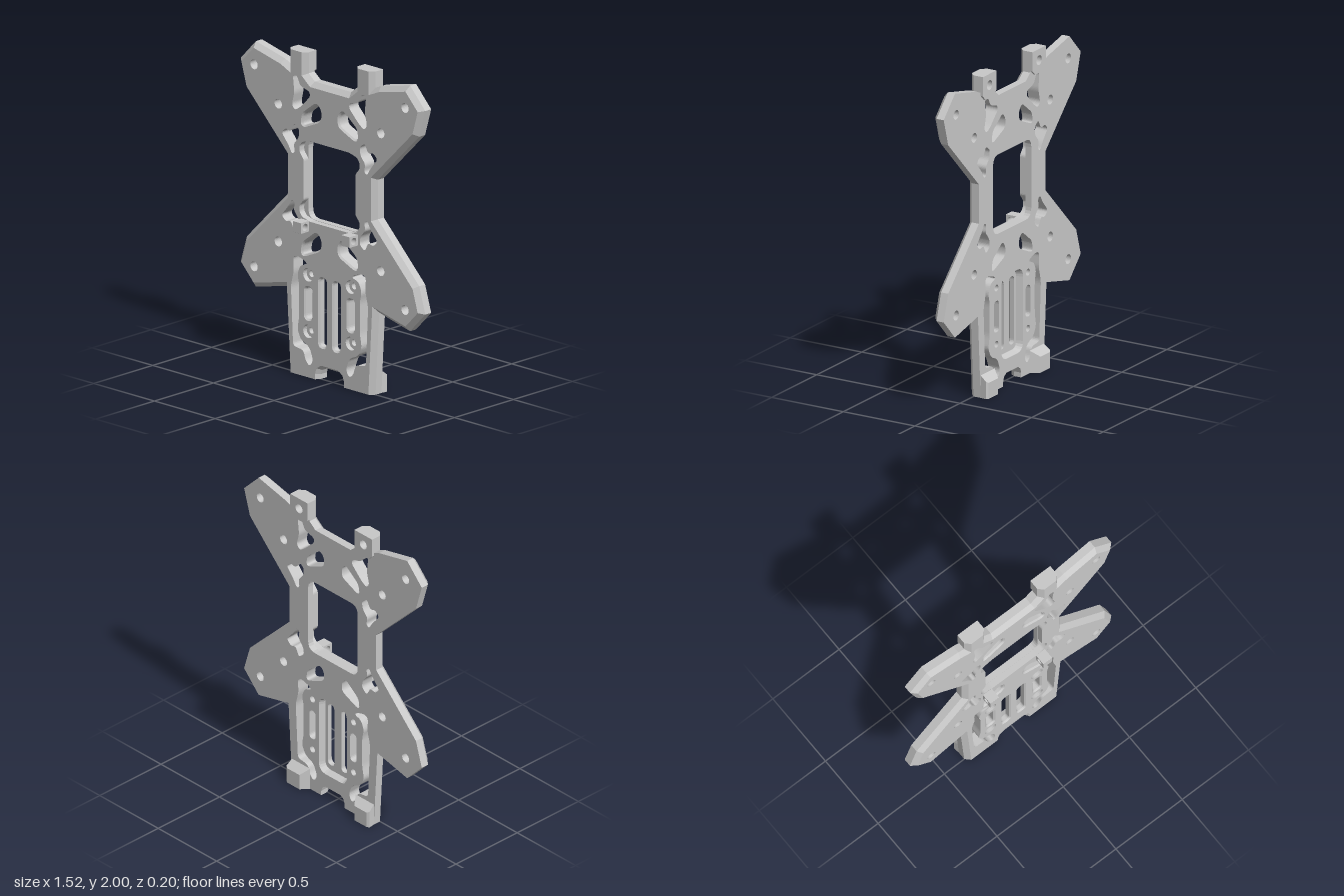
import * as THREE from 'three';
import { mergeGeometries } from 'three/addons/utils/BufferGeometryUtils.js';

const V = (x, y) => new THREE.Vector2(x, y);
const FRONT = 0.03, BACK = -0.05;

// All loops are kept counter-clockwise
const ccw = (l) => (THREE.ShapeUtils.area(l) < 0 ? l.slice().reverse() : l);
const poly = (pts) => ccw(pts.map(([x, y]) => V(x, y)));
const mirror = (l) => ccw(l.map((p) => V(-p.x, p.y)));
const bothSides = (pts) => [...pts, ...pts.slice().reverse().map(([x, y]) => [-x, y])];

// Polygon with rounded corners
function rounded(pts, r, seg = 5) {
  const l = poly(pts), out = [];
  l.forEach((p, i) => {
    const a = l[(i + l.length - 1) % l.length], b = l[(i + 1) % l.length];
    const s = p.clone().lerp(a, Math.min(0.48, r / p.distanceTo(a)));
    const e = p.clone().lerp(b, Math.min(0.48, r / p.distanceTo(b)));
    out.push(...new THREE.QuadraticBezierCurve(s, p, e).getPoints(seg));
  });
  return out;
}
const rect = (x, y, w, h, r) => rounded([[x - w, y - h], [x + w, y - h], [x + w, y + h], [x - w, y + h]], r);
function circle(x, y, r, n = 24) {
  return Array.from({ length: n }, (_, i) => V(x + r * Math.cos(i / n * Math.PI * 2), y + r * Math.sin(i / n * Math.PI * 2)));
}

// Move every edge outwards by a distance, joining at mitres
function offset(l, dist) {
  const n = l.length;
  const edge = (i) => {
    const a = l[i], b = l[(i + 1) % n], d = b.clone().sub(a).normalize();
    return { x: d.y, y: -d.x, d: typeof dist === 'function' ? dist(a, b) : dist };
  };
  return l.map((p, i) => {
    const e = edge((i + n - 1) % n), f = edge(i), det = e.x * f.y - e.y * f.x;
    if (Math.abs(det) < 0.02) return V(p.x + f.x * f.d, p.y + f.y * f.d);
    return V(p.x + (e.d * f.y - f.d * e.y) / det, p.y + (e.x * f.d - f.x * e.d) / det);
  });
}

function triangles(pos) {
  const g = new THREE.BufferGeometry();
  g.setAttribute('position', new THREE.Float32BufferAttribute(pos, 3));
  g.computeVertexNormals();
  return g;
}
// Side wall between two loops of equal length
function wall(a, za, b, zb, inward) {
  const pos = [];
  a.forEach((p, i) => {
    const j = (i + 1) % a.length;
    const A = [p.x, p.y, za], B = [a[j].x, a[j].y, za], C = [b[j].x, b[j].y, zb], D = [b[i].x, b[i].y, zb];
    pos.push(...(inward ? [D, B, C, D, A, B] : [D, C, B, D, B, A]).flat());
  });
  return triangles(pos);
}
function makeShape(outer, holes) {
  const s = new THREE.Shape(outer);
  s.holes = holes.map((h) => new THREE.Path(h));
  return s;
}
// Flat face with holes
function face(outer, holes, z, backward) {
  const g = new THREE.ShapeGeometry(makeShape(outer, holes));
  const p = g.attributes.position, pos = [];
  for (let i = 0; i < g.index.count; i += 3) {
    for (const k of backward ? [0, 2, 1] : [0, 1, 2]) {
      const v = g.index.getX(i + k);
      pos.push(p.getX(v), p.getY(v), z);
    }
  }
  return triangles(pos);
}
const extrude = (outer, holes, depth) =>
  new THREE.ExtrudeGeometry(makeShape(outer, holes), { depth, bevelEnabled: false });

function buildPlate() {
  const parts = [], frontHoles = [], backHoles = [];
  // Walls and ledges through a list of [loop, z], front to back
  const sides = (levels) => {
    for (let i = 1; i < levels.length; i++) {
      const [a, za] = levels[i - 1], [b, zb] = levels[i];
      parts.push(za === zb ? face(a, [b], za) : wall(a, za, b, zb, true));
    }
  };
  const hole = (levels) => {
    sides(levels);
    frontHoles.push(levels[0][0]);
    backHoles.push(levels[levels.length - 1][0]);
  };
  const pair = (levels) => {
    hole(levels);
    hole(levels.map(([l, z]) => [mirror(l), z]));
  };
  const plain = (l) => [[l, FRONT], [l, BACK]];
  const eased = (l, end = BACK) => [[offset(l, 0.01), FRONT], [l, 0.02], [l, end]];

  // X-shaped outline with front chamfer
  const outline = poly(bothSides([[0.15, 1.83], [0.2, 1.87], [0.2, 2], [0.35, 2], [0.35, 1.9], [0.395, 1.92],
    [0.635, 1.975], [0.76, 1.845], [0.71, 1.675], [0.37, 1.335], [0.37, 1.09], [0.71, 0.75], [0.76, 0.585],
    [0.635, 0.455], [0.38, 0.515], [0.35, 0], [0.1, 0], [0.1, 0.03], [0.09, 0.058], [0.065, 0.075]]));
  const inset = offset(outline, (a, b) => {
    if (a.y === b.y && (a.y === 0 || a.y === 2)) return 0;
    return Math.max(a.y, b.y) < 0.1 ? -0.02 : -0.03;
  });
  parts.push(wall(inset, FRONT, outline, 0), wall(outline, 0, outline, BACK));

  // Central window with widened corners
  const wide = rounded(bothSides([[0.16, 1.464], [0.225, 1.447], [0.247, 1.42], [0.247, 1.38], [0.213, 1.34],
    [0.213, 1.09], [0.247, 1.05], [0.247, 1.01], [0.225, 0.983], [0.16, 0.966]]), 0.012, 3);
  const window = rect(0, 1.215, 0.212, 0.247, 0.06);
  hole([[wide, FRONT], [wide, -0.01], [window, -0.01], [window, BACK]]);

  // Slanted openings beside the centre line
  for (const dy of [0, -0.8]) {
    const tear = [[0.077, 1.67], [0.108, 1.705], [0.218, 1.62], [0.228, 1.56], [0.21, 1.55], [0.085, 1.605], [0.075, 1.63]];
    pair(eased(rounded(tear.map(([x, y]) => [x, y + dy]), 0.025)));
  }
  // Cut-outs at the arm roots
  pair(plain(rounded([[0.27, 1.85], [0.302, 1.845], [0.29, 1.74], [0.31, 1.66], [0.285, 1.63],
    [0.24, 1.66], [0.16, 1.74], [0.165, 1.77], [0.24, 1.79]], 0.02)));
  const root = [[0.395, 1.47], [0.36, 1.505], [0.32, 1.49], [0.29, 1.55], [0.247, 1.515], [0.255, 1.465],
    [0.295, 1.42], [0.285, 1.37], [0.31, 1.355], [0.335, 1.4]];
  pair(plain(rounded(root, 0.02)));
  pair(plain(rounded(root.map(([x, y]) => [x, 2.43 - y]), 0.02)));

  // Gaps between the legs and the slotted panel
  pair(plain(rounded([[0.27, 0.735], [0.3, 0.72], [0.295, 0.63], [0.318, 0.54], [0.3, 0.17], [0.215, 0.16], [0.195, 0.095],
    [0.16, 0.07], [0.135, 0.115], [0.165, 0.19], [0.235, 0.22], [0.265, 0.28], [0.25, 0.36],
    [0.25, 0.56], [0.265, 0.62], [0.24, 0.68], [0.185, 0.695], [0.2, 0.715]], 0.025)));

  // Arm bolt holes
  for (const [x, y] of [[0.622, 1.84], [0.422, 1.64], [0.422, 0.787], [0.622, 0.59]]) pair(plain(circle(x, y, 0.03)));
  // Panel screw holes with counterbores, and outer slots
  for (const y of [0.635, 0.285]) {
    const big = circle(0.175, y, 0.042), small = circle(0.175, y, 0.021);
    pair([[big, FRONT], [big, 0], [small, 0], [small, BACK]]);
  }
  pair(eased(rect(0.175, 0.457, 0.027, 0.098, 0.027)));

  // Two long slots opening into a rear pocket
  const floorZ = -0.01, slots = [];
  for (const x of [-0.057, 0.057]) {
    const slot = rect(x, 0.423, 0.027, 0.212, 0.027), levels = eased(slot, floorZ);
    sides(levels);
    frontHoles.push(levels[0][0]);
    slots.push(slot);
  }
  const pocket = rect(0, 0.423, 0.105, 0.245, 0.045), mouth = offset(pocket, 0.015);
  parts.push(face(pocket, slots, floorZ, true), wall(pocket, floorZ, mouth, BACK, true));
  backHoles.push(mouth);

  // Blind bores behind the top tabs
  for (const s of [-1, 1]) {
    const bore = circle(0.275 * s, 1.93, 0.03);
    parts.push(wall(bore, 0, bore, BACK, true), face(bore, [], 0, true));
    backHoles.push(bore);
  }
  parts.push(face(inset, frontHoles, FRONT), face(outline, backHoles, BACK, true));
  return mergeGeometries(parts);
}

export function createModel() {
  const model = new THREE.Group();
  const grey = new THREE.MeshStandardMaterial({ color: 0xc8c8c8, side: THREE.DoubleSide });
  grey.name = 'light grey';
  const add = (name, geometry) => {
    const m = new THREE.Mesh(geometry, grey);
    m.name = name;
    model.add(m);
    return m;
  };
  add('framePlate', buildPlate());

  for (const s of [1, -1]) {
    const side = s > 0 ? 'left' : 'right';
    const flip = (l) => (s > 0 ? l : mirror(l));

    // Raised pad behind the top tab
    const pad = poly([[0.2, 2], [0.2, 1.88], [0.235, 1.85], [0.32, 1.85], [0.35, 1.88], [0.35, 2]]);
    add(side + 'TabPad', extrude(flip(pad), [circle(0.275 * s, 1.93, 0.03)], 0.015)).position.z = BACK - 0.015;

    // Rear foot: bored base and sloped top, drawn in x and -z then stood upright
    const foot = flip(poly([[0.35, 0.05], [0.355, 0.09], [0.34, 0.1], [0.235, 0.1], [0.195, 0.05]]));
    const base = extrude(foot, [circle(0.28 * s, 0.076, 0.019)], 0.06).rotateX(-Math.PI / 2);
    const top = extrude(foot, [], 0.04).rotateX(-Math.PI / 2).translate(0, 0.06, 0);
    const p = top.attributes.position;
    for (let i = 0; i < p.count; i++) if (p.getY(i) > 0.09) p.setY(i, 0.1 + (p.getZ(i) + 0.1) * 0.8);
    top.computeVertexNormals();
    add(side + 'FootBase', base);
    add(side + 'FootTop', top);

    // Small pierced lug on the front, bored along x
    const lug = extrude(rect(0, 0, 0.035, 0.033, 0.001), [circle(0, 0, 0.022)], 0.066)
      .translate(0, 0, -0.033).rotateY(Math.PI / 2);
    add(side + 'Lug', lug).position.set(0.2 * s, 0.938, 0.065);
  }
  return model;
}
